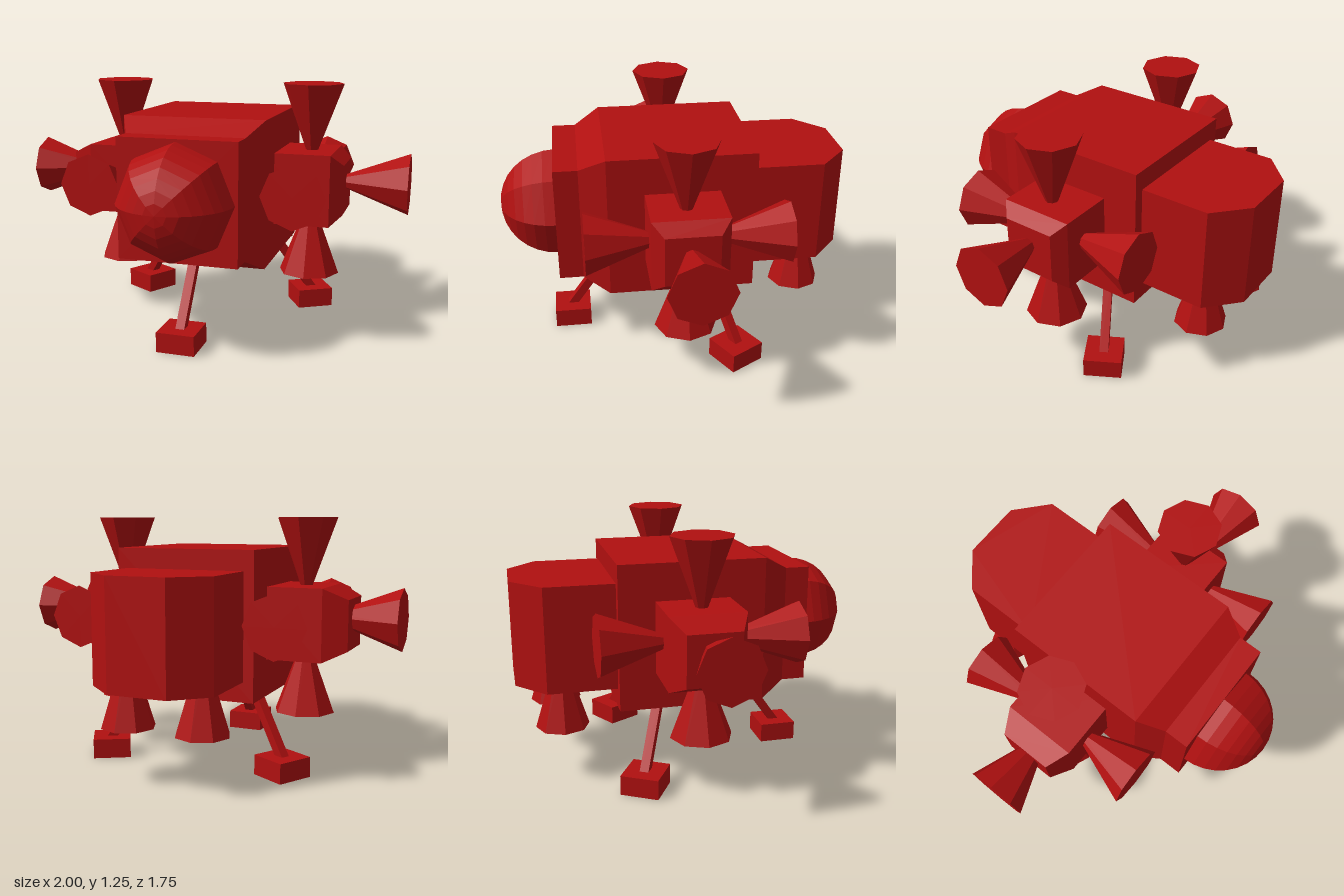
import * as THREE from 'three';

const red = new THREE.MeshStandardMaterial({ color: 0xb01010, flatShading: true });
const UP = new THREE.Vector3(0, 1, 0);
const CX = -0.01; // centre line of the hull

function part(name, geometry, parent) {
  const mesh = new THREE.Mesh(geometry, red);
  mesh.name = name;
  parent.add(mesh);
  return mesh;
}

// Closed hull through rectangular sections [z, halfWidth, halfHeight], z increasing
function rectLoft(sections) {
  const pos = [], idx = [];
  for (const [z, w, h] of sections) pos.push(-w, -h, z, w, -h, z, w, h, z, -w, h, z);
  for (let s = 0; s < sections.length - 1; s++) {
    for (let i = 0; i < 4; i++) {
      const a = s * 4 + i, b = s * 4 + (i + 1) % 4;
      idx.push(a, b, b + 4, a, b + 4, a + 4);
    }
  }
  const e = (sections.length - 1) * 4;
  idx.push(0, 2, 1, 0, 3, 2, e, e + 1, e + 2, e, e + 2, e + 3);
  const g = new THREE.BufferGeometry();
  g.setAttribute('position', new THREE.Float32BufferAttribute(pos, 3));
  g.setIndex(idx);
  const flat = g.toNonIndexed();
  flat.computeVertexNormals();
  return flat;
}

// Eight-sided nozzle flaring from a point along a direction
function nozzle(parent, name, from, dir, length, r0, r1) {
  const d = new THREE.Vector3(...dir);
  const g = new THREE.CylinderGeometry(r1, r0, length, 8).translate(0, length / 2, 0);
  const mesh = part(name, g, parent);
  mesh.position.set(...from);
  mesh.quaternion.setFromUnitVectors(UP, d);
}

export function createModel() {
  const root = new THREE.Group();
  root.name = 'landerCraft';

  // Main hull with stepped-in front collar
  part('hull', rectLoft([
    [-0.39, 0.362, 0.365], [0.34, 0.362, 0.365], [0.47, 0.297, 0.295], [0.59, 0.297, 0.295],
  ]), root).position.set(CX, 0.735, 0);

  // Faceted nose dome, pole facing forward
  const dome = new THREE.SphereGeometry(0.283, 8, 8, 0, Math.PI * 2, 0, Math.PI / 2).rotateX(Math.PI / 2);
  part('noseDome', dome, root).position.set(CX, 0.735, 0.588);

  // Rear engine pod: chamfered plan extruded upward
  const plan = new THREE.Shape([
    [-0.31, 0.35], [0.31, 0.35], [0.31, 0.735], [0.148, 0.88], [-0.148, 0.88], [-0.31, 0.735],
  ].map(([x, y]) => new THREE.Vector2(x, y)));
  const pod = new THREE.ExtrudeGeometry(plan, { depth: 0.53, bevelEnabled: false });
  pod.rotateX(-Math.PI / 2);
  part('rearPod', pod, root).position.set(CX, 0.47, 0);

  // Two nozzles beneath the rear pod
  for (const x of [-0.23, 0.155]) {
    nozzle(root, 'rearNozzle', [x, 0.6, -0.66], [0, -1, 0], 0.33, 0.03, 0.133);
  }

  // Side thruster blocks, each with five nozzles
  for (const side of [1, -1]) {
    const cluster = new THREE.Group();
    cluster.name = side > 0 ? 'leftThrusters' : 'rightThrusters';
    const [shoulder, tip] = side > 0 ? [0.63, 0.69] : [0.65, 0.765];
    const block = rectLoft([[0.3, 0.185, 0.18], [shoulder, 0.185, 0.18], [tip, 0.13, 0.125]]);
    block.rotateY(side * Math.PI / 2);
    part('thrusterBlock', block, cluster).position.set(0, 0.735, -0.025);
    const x = side > 0 ? 0.507 : -0.515;
    nozzle(cluster, 'topNozzle', [x, 0.91, -0.02], [0, 1, 0], 0.34, 0.03, 0.155);
    nozzle(cluster, 'bottomNozzle', [x, 0.6, -0.02], [0, -1, 0], 0.33, 0.03, 0.155);
    nozzle(cluster, 'frontNozzle', [x, 0.76, 0.13], [0, 0, 1], 0.33, 0.03, 0.155);
    nozzle(cluster, 'backNozzle', [x, 0.76, -0.185], [0, 0, -1], 0.33, 0.03, 0.155);
    nozzle(cluster, 'outerNozzle', [side * 0.67, 0.76, -0.02], [side, 0, 0], 0.33, 0.03, 0.155);
    root.add(cluster);
  }

  // Tripod landing gear: strut and square foot, every 120 degrees
  for (let i = 0; i < 3; i++) {
    const leg = new THREE.Group();
    leg.name = 'landingLeg';
    const top = new THREE.Vector3(0, 0.42, 0.32), bottom = new THREE.Vector3(0, 0.07, 0.57);
    const axis = top.clone().sub(bottom);
    const strut = part('strut', new THREE.BoxGeometry(0.045, axis.length(), 0.045), leg);
    strut.position.copy(top).add(bottom).multiplyScalar(0.5);
    strut.quaternion.setFromUnitVectors(UP, axis.normalize());
    part('foot', new THREE.BoxGeometry(0.192, 0.1, 0.192), leg).position.set(0, 0.05, 0.552);
    leg.position.set(CX, 0, -0.015);
    leg.rotation.y = i * Math.PI * 2 / 3;
    root.add(leg);
  }
  return root;
}
